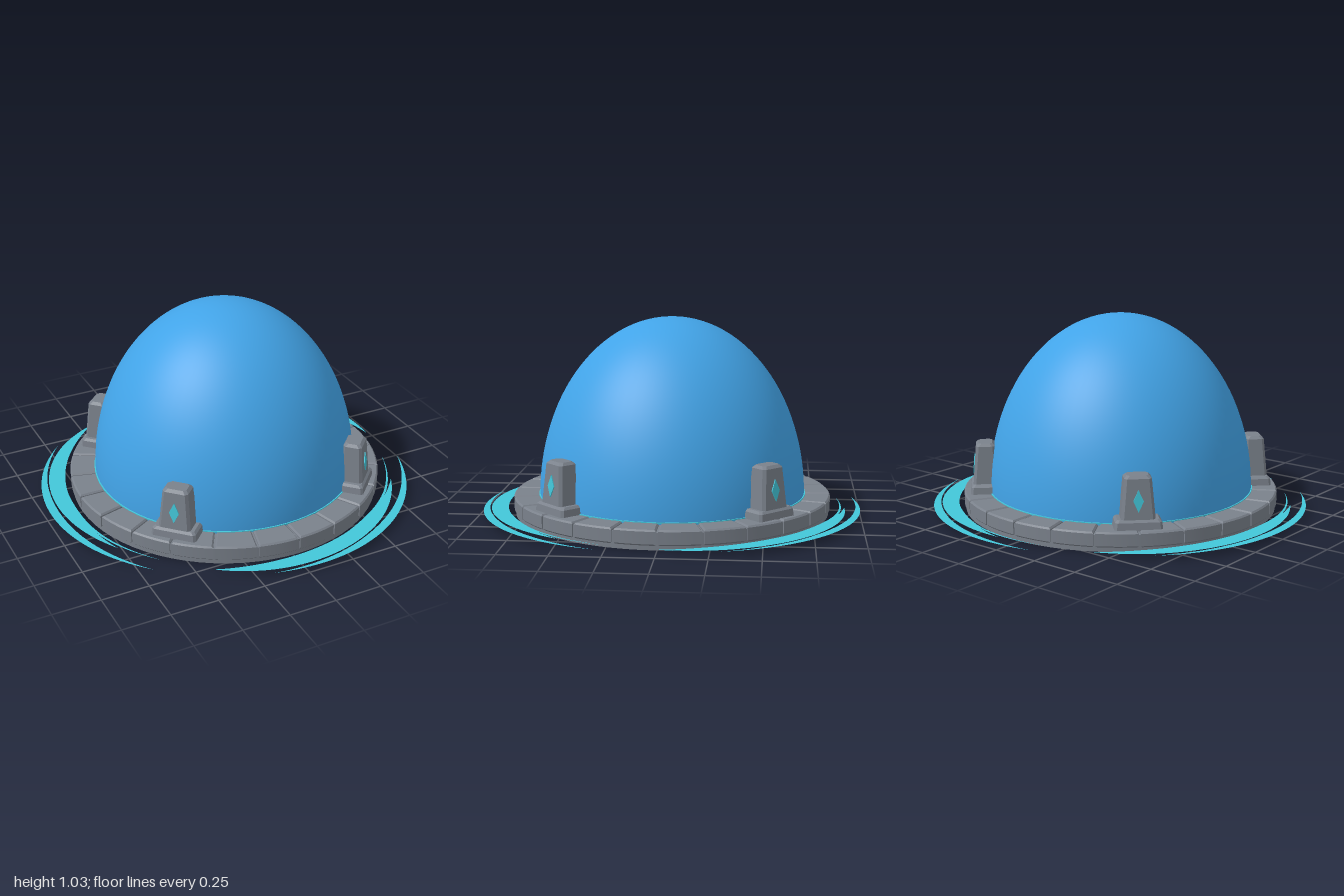
import * as THREE from 'three';
import { toCreasedNormals } from 'three/addons/utils/BufferGeometryUtils.js';

const stone = new THREE.MeshStandardMaterial({ color: 0x7a818b });
stone.name = 'grey stone';
const blue = new THREE.MeshStandardMaterial({ color: 0x42a4e8 });
blue.name = 'dome blue';
const cyan = new THREE.MeshStandardMaterial({ color: 0x43c6d9, side: THREE.DoubleSide });
cyan.name = 'glowing cyan';

const rad = THREE.MathUtils.degToRad;

function add(parent, name, geometry, material) {
  const mesh = new THREE.Mesh(geometry, material);
  mesh.name = name;
  parent.add(mesh);
  return mesh;
}

// One bevelled paving block of the ring, lying flat, centred on angle 0
function blockGeometry() {
  const half = rad(7.5), gap = 0.013, b = 0.008;
  const a = (r) => half - gap / r;
  const shape = new THREE.Shape();
  shape.absarc(0, 0, 0.842 - b, -a(0.842), a(0.842), false);
  shape.absarc(0, 0, 0.69 + b, a(0.69), -a(0.69), true);
  shape.closePath();
  const geo = new THREE.ExtrudeGeometry(shape, {
    depth: 0.078 - 2 * b, bevelThickness: b, bevelSize: b, bevelSegments: 1, curveSegments: 4,
  });
  geo.rotateX(-Math.PI / 2).translate(0, 0.022 + b, 0);
  return toCreasedNormals(geo, 0.4);
}

// Tapered block with chamfered edges, from bottom and top rectangles
// given as [inner x, outer x, width in z]
function taperedBlock(y0, y1, bottom, top, c) {
  const levels = [[y0, 0, 0], [y1 - c, 1, 0], [y1, 1, c]];
  const pos = [], index = [];
  for (const [y, t, inset] of levels) {
    const [xi, xo, w] = bottom.map((v, k) => v + (top[k] - v) * t);
    const l = xi + inset, r = xo - inset, h = w / 2 - inset;
    const corners = [[l, h - c], [l + c, h], [r - c, h], [r, h - c],
      [r, c - h], [r - c, -h], [l + c, -h], [l, c - h]];
    for (const [x, z] of corners) pos.push(x, y, z);
  }
  for (let k = 0; k < 2; k++) {
    for (let i = 0; i < 8; i++) {
      const p = k * 8 + i, q = k * 8 + (i + 1) % 8;
      index.push(p, q, q + 8, p, q + 8, p + 8);
    }
  }
  for (let i = 1; i < 7; i++) {
    index.push(16, 16 + i, 17 + i);
    index.push(0, i + 1, i);
  }
  const geo = new THREE.BufferGeometry();
  geo.setAttribute('position', new THREE.Float32BufferAttribute(pos, 3));
  geo.setIndex(index);
  return toCreasedNormals(geo, 0.3);
}

// Flat crescent between two edges, each a list of [angle in degrees, radius]
function crescent(outer, inner) {
  const edge = (pts) => new THREE.SplineCurve(pts.map(([d, r]) => new THREE.Vector2(d, r * 100)))
    .getPoints(40)
    .map((p) => new THREE.Vector2(Math.cos(rad(p.x)), Math.sin(rad(p.x))).multiplyScalar(p.y / 100));
  const shape = new THREE.Shape([...edge(outer), ...edge(inner).reverse().slice(1, -1)]);
  return new THREE.ShapeGeometry(shape).rotateX(-Math.PI / 2);
}

export function createModel() {
  const model = new THREE.Group();
  model.name = 'domedShield';
  const body = new THREE.Group();
  body.name = 'body';
  body.position.x = 0.03;
  model.add(body);

  // Foundation disc below the paving ring
  add(body, 'foundation', new THREE.CylinderGeometry(0.835, 0.835, 0.085, 72), stone)
    .position.y = 0.0425;

  // Ring of 24 blocks
  const block = blockGeometry();
  for (let i = 0; i < 24; i++) {
    add(body, 'ringBlock', block, stone).rotation.y = rad(7.5 + i * 15);
  }

  // Dome and the glowing line round its foot
  const dome = add(body, 'dome',
    new THREE.SphereGeometry(1, 72, 32, 0, Math.PI * 2, 0, Math.PI / 2), blue);
  dome.scale.set(0.705, 0.945, 0.705);
  dome.position.y = 0.09;
  add(body, 'domeRim', new THREE.CylinderGeometry(0.711, 0.711, 0.006, 72), cyan).position.y = 0.101;

  // Four pillars on the diagonals, each with a diamond gem facing outwards
  const plinthGeo = taperedBlock(0.095, 0.147, [0.66, 0.808, 0.24], [0.665, 0.803, 0.23], 0.012);
  const shaftGeo = taperedBlock(0.145, 0.36, [0.665, 0.792, 0.17], [0.675, 0.775, 0.135], 0.014);
  const gemShape = new THREE.Shape([[0, -0.055], [0.026, 0], [0, 0.055], [-0.026, 0]]
    .map(([x, y]) => new THREE.Vector2(x, y)));
  const gemGeo = new THREE.ExtrudeGeometry(gemShape, { depth: 0.006, bevelEnabled: false });
  gemGeo.rotateX(-0.079).rotateY(Math.PI / 2).translate(0.783, 0.238, 0);
  for (let i = 0; i < 4; i++) {
    const pillar = new THREE.Group();
    pillar.name = 'pillar';
    pillar.rotation.y = rad(45 + i * 90);
    add(pillar, 'plinth', plinthGeo, stone);
    add(pillar, 'shaft', shaftGeo, stone);
    add(pillar, 'gem', gemGeo, cyan);
    body.add(pillar);
  }

  // Three swirls of flat crescents around the base
  const swirlParts = {
    mainCrescent: crescent(
      [[0, 0.928], [18, 0.957], [38, 0.963], [58, 0.952], [75, 0.935], [88, 0.918]],
      [[0, 0.928], [18, 0.893], [38, 0.874], [58, 0.872], [75, 0.894], [88, 0.918]]),
    outerCrescent: crescent(
      [[18, 0.985], [38, 1.001], [58, 1.008], [80, 1.005], [103, 0.99]],
      [[18, 0.985], [38, 0.972], [58, 0.962], [80, 0.971], [103, 0.99]]),
    innerSliver: crescent(
      [[45, 0.878], [60, 0.882], [80, 0.899], [103, 0.903]],
      [[45, 0.873], [60, 0.868], [80, 0.886], [103, 0.902]]),
  };
  for (let i = 0; i < 3; i++) {
    const swirl = new THREE.Group();
    swirl.name = 'swirl';
    swirl.position.y = 0.03;
    swirl.rotation.y = rad(i * 120);
    for (const [name, geo] of Object.entries(swirlParts)) add(swirl, name, geo, cyan);
    body.add(swirl);
  }
  return model;
}
